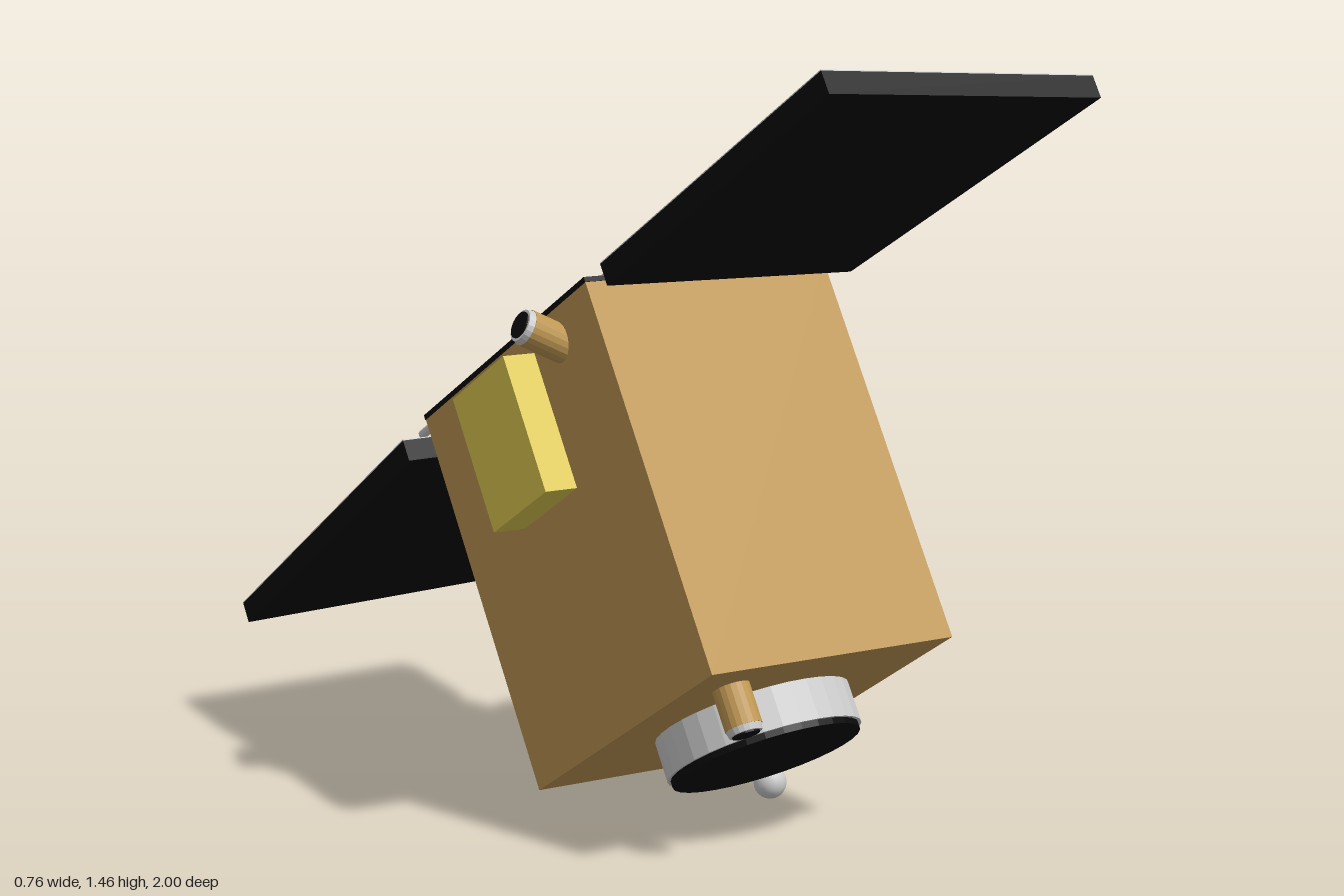
import * as THREE from 'three';

const mat = (color) => new THREE.MeshStandardMaterial({ color, flatShading: true });
const gold = mat(0xbf9753), black = mat(0x0a0a0a), grey = mat(0xcccccc), yellow = mat(0xe0ca52);
const smoothGrey = new THREE.MeshStandardMaterial({ color: 0xcccccc });

function add(parent, name, geometry, material, x = 0, y = 0, z = 0) {
  const mesh = new THREE.Mesh(geometry, material);
  mesh.name = name;
  mesh.position.set(x, y, z);
  parent.add(mesh);
  return mesh;
}

const cylinder = (r, h, sides = 20) => new THREE.CylinderGeometry(r, r, h, sides);

// Slab between an inner and an outer edge; each edge is [z, xRight, yRight, xLeft, yLeft] of its top
function slab(inner, outer, top, bottom) {
  const g = new THREE.BoxGeometry(1, 1, 1);
  const p = g.attributes.position;
  const [near, far] = inner[0] < outer[0] ? [inner, outer] : [outer, inner];
  for (let i = 0; i < p.count; i++) {
    const e = p.getZ(i) < 0 ? near : far;
    const k = p.getX(i) < 0 ? 1 : 3;
    p.setXYZ(i, e[k], e[k + 1] + (p.getY(i) > 0 ? top : bottom), e[0]);
  }
  g.computeVertexNormals();
  return g;
}

// Solar wing: dark slab with a light sheet on top
function wing(parent, name, inner, outer) {
  const g = new THREE.Group();
  g.name = name;
  add(g, 'panelBase', slab(inner, outer, -0.002, -0.045), black);
  add(g, 'panelSheet', slab(inner, outer, 0, -0.002), grey);
  parent.add(g);
}

// Small nozzle running from base to tip, with a light rim and dark mouth
function nozzle(parent, name, base, tip) {
  const a = new THREE.Vector3(...base), b = new THREE.Vector3(...tip);
  const length = a.distanceTo(b);
  const g = new THREE.Group();
  g.name = name;
  g.position.copy(a);
  g.quaternion.setFromUnitVectors(new THREE.Vector3(0, 1, 0), b.sub(a).normalize());
  add(g, 'nozzleBody', cylinder(0.035, length - 0.012), gold, 0, (length - 0.012) / 2, 0);
  add(g, 'nozzleRim', new THREE.CylinderGeometry(0.031, 0.034, 0.012, 20), grey, 0, length - 0.006, 0);
  add(g, 'nozzleMouth', cylinder(0.026, 0.006), black, 0, length, 0);
  parent.add(g);
}

export function createModel() {
  const model = new THREE.Group();
  model.name = 'satellite';

  // Everything is built upright, then tipped backwards
  const craft = new THREE.Group();
  craft.name = 'craft';
  craft.position.set(-0.015, 0.56, 0.18);
  craft.rotation.x = -0.534;
  model.add(craft);

  // Body and top deck
  add(craft, 'body', new THREE.BoxGeometry(0.55, 0.766, 0.632), gold);
  add(craft, 'topDeck', new THREE.BoxGeometry(0.56, 0.01, 0.634), black, 0.004, 0.385, 0);

  // Domed dish with three pegs
  const dome = add(craft, 'dish', new THREE.SphereGeometry(0.238, 40, 12, 0, Math.PI * 2, 0, Math.PI / 2), smoothGrey, 0, 0.389, 0);
  dome.scale.y = 0.22;
  for (const [x, z] of [[0.06, 0.108], [0.06, -0.05], [-0.055, 0.108]]) {
    add(craft, 'dishPeg', cylinder(0.011, 0.06, 12), black, x, 0.436, z);
  }

  // Solar wings
  wing(craft, 'frontWing', [0.378, -0.277, 0.389, 0.277, 0.376], [1.135, -0.29, 0.385, 0.294, 0.351]);
  wing(craft, 'backWing', [-0.4, -0.285, 0.375, 0.283, 0.384], [-1.165, -0.289, 0.328, 0.285, 0.35]);

  // Hinge rods joining wings to deck
  for (const side of [-1, 1]) for (const end of [-1, 1]) {
    const rod = add(craft, 'hingeRod', cylinder(0.009, 0.165, 12), grey, side * 0.213, 0.394, end * 0.354);
    rod.rotation.x = Math.PI / 2;
  }

  // Nozzles on the sides and underside
  nozzle(craft, 'leftFrontNozzle', [0.255, 0.27, 0.1], [0.382, 0.327, 0.11]);
  nozzle(craft, 'leftBackNozzle', [0.25, 0.285, -0.12], [0.374, 0.337, -0.113]);
  nozzle(craft, 'rightNozzle', [-0.25, 0.31, 0.175], [-0.35, 0.359, 0.187]);
  nozzle(craft, 'bottomNozzle', [-0.165, -0.37, 0.21], [-0.165, -0.472, 0.21]);

  // Side equipment box
  add(craft, 'equipmentBox', new THREE.BoxGeometry(0.075, 0.272, 0.2), yellow, -0.307, 0.201, -0.003);

  // Mounting ring and dark lens below
  add(craft, 'bottomRing', cylinder(0.189, 0.08, 32), grey, 0.02, -0.421, 0);
  add(craft, 'bottomLens', cylinder(0.183, 0.014, 32), black, 0.02, -0.466, 0);

  // Ball-tipped antenna below
  add(craft, 'antennaStem', cylinder(0.011, 0.08, 12), grey, 0.19, -0.42, -0.239);
  add(craft, 'antennaBall', new THREE.SphereGeometry(0.032, 20, 14), smoothGrey, 0.19, -0.464, -0.239);

  return model;
}
